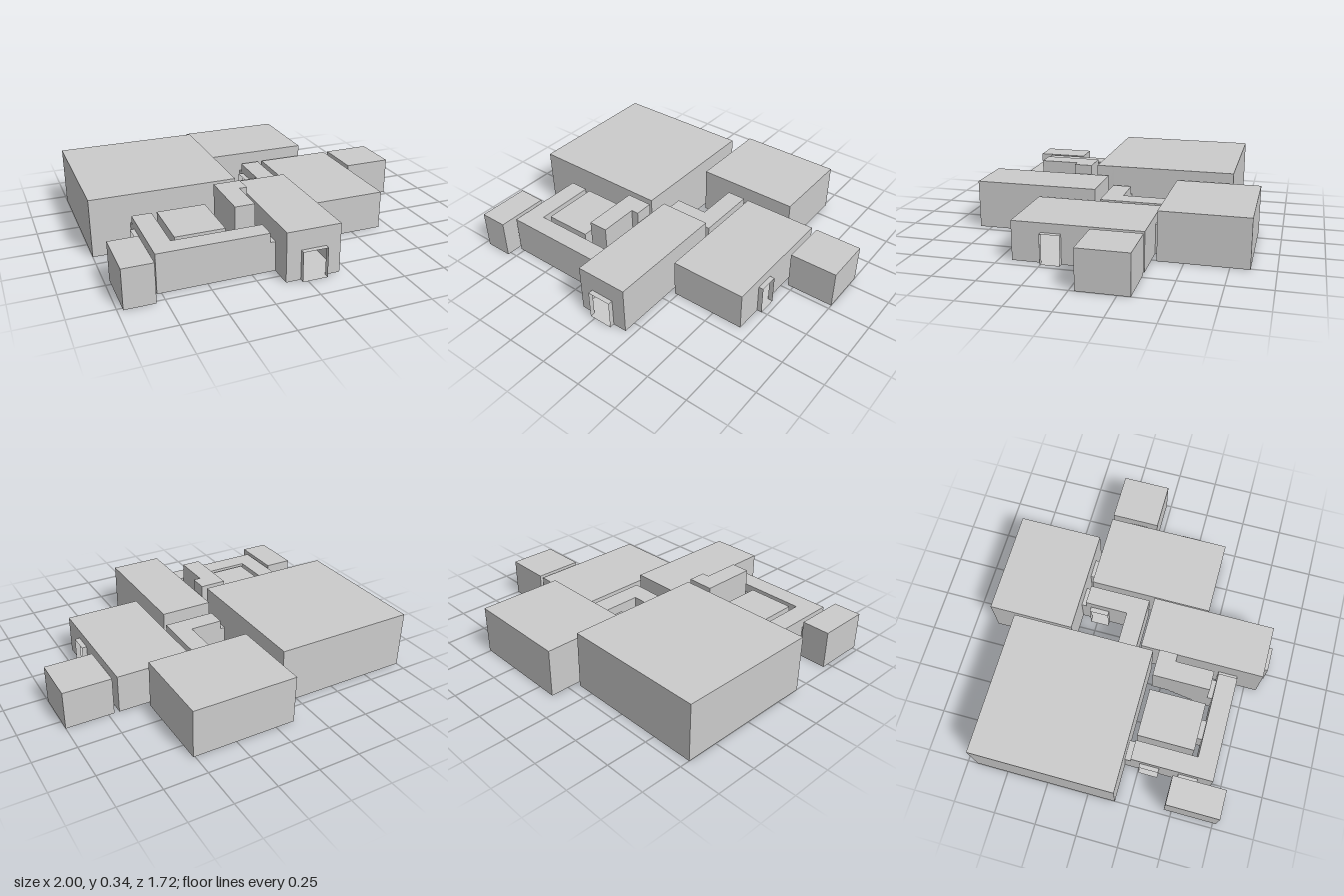
import * as THREE from 'three';
import { mergeGeometries } from 'three/addons/utils/BufferGeometryUtils.js';

const material = new THREE.MeshStandardMaterial({ color: 0xcccccc, flatShading: true, side: THREE.DoubleSide });
const DOOR_HEIGHT = 0.175;

// Doorway passages: x0, x1, z0, z1, and the axis one walks along
const doors = [
  ['frontEntrance', -0.03, 0.115, 0.825, 0.855, 'z'],
  ['hallToEastRoom', 0.2, 0.23, 0.14, 0.255, 'x'],
  ['eastExit', 0.685, 0.715, 0.14, 0.255, 'x'],
  ['eastRoomToCloset', 0.685, 0.715, -0.205, -0.09, 'x'],
  ['eastRoomToBackRoom', 0.285, 0.4, -0.35, -0.32, 'z'],
  ['corridorToBackRoom', 0.085, 0.2, -0.35, -0.32, 'z'],
  ['corridorSideExit', 0.055, 0.085, -0.29, -0.175, 'x'],
  ['corridorToGreatRoom', -0.145, -0.115, -0.06, 0.055, 'x'],
  ['hallToWestCorridor', -0.145, -0.115, 0.57, 0.685, 'x'],
  ['corridorToInnerRoom', -0.545, -0.43, 0.54, 0.57, 'z'],
  ['corridorToStairs', -0.29, -0.175, 0.54, 0.57, 'z'],
  ['westCorridorToGreatRoom', -0.775, -0.66, 0.165, 0.2, 'z'],
  ['westExit', -0.8, -0.775, 0.255, 0.37, 'x'],
  ['corridorToWestCloset', -0.8, -0.775, 0.485, 0.6, 'x'],
];

// Footprint corners run front-left, front-right, back-right, back-left
const rect = (x0, x1, z0, z1) => [[x0, z1], [x1, z1], [x1, z0], [x0, z0]];

// Upright panel between two ground points
function panel([ax, az], [bx, bz], y0, y1) {
  const dx = bx - ax, dz = bz - az;
  return new THREE.PlaneGeometry(Math.hypot(dx, dz), y1 - y0)
    .rotateY(Math.atan2(-dz, dx))
    .translate((ax + bx) / 2, (y0 + y1) / 2, (az + bz) / 2);
}

// Flat slab surface over a footprint, facing up or down
function slab(points, y, up) {
  const s = up ? -1 : 1;
  const shape = new THREE.Shape(points.map(([x, z]) => new THREE.Vector2(x, s * z)));
  return new THREE.ShapeGeometry(shape).rotateX(s * Math.PI / 2).translate(0, y, 0);
}

// One wall, split into panels around every doorway that touches it
function wall(a, b, height) {
  const alongX = a[1] === b[1], axis = alongX ? 0 : 1;
  const line = alongX ? a[1] : a[0];
  const sign = Math.sign(b[axis] - a[axis]), length = Math.abs(b[axis] - a[axis]);
  const at = t => alongX ? [a[0] + sign * t, line] : [line, a[1] + sign * t];
  const gaps = [];
  for (const [, x0, x1, z0, z1, way] of doors) {
    if ((way === 'z') !== alongX) continue;
    const ends = alongX ? [z0, z1] : [x0, x1], span = alongX ? [x0, x1] : [z0, z1];
    const t = span.map(v => sign * (v - a[axis])).sort((p, q) => p - q);
    const touches = ends.some(e => Math.abs(e - line) < 1e-3);
    if (touches && t[0] > -1e-3 && t[1] < length + 1e-3) gaps.push(t);
  }
  gaps.sort((p, q) => p[0] - q[0]);
  const parts = [];
  let from = 0;
  for (const [t0, t1] of gaps) {
    if (t0 - from > 1e-3) parts.push(panel(at(from), at(t0), 0, height));
    parts.push(panel(at(t0), at(t1), DOOR_HEIGHT, height));
    from = t1;
  }
  if (length - from > 1e-3) parts.push(panel(at(from), at(length), 0, height));
  return parts;
}

function addMesh(group, name, geometry) {
  const mesh = new THREE.Mesh(geometry, material);
  mesh.name = name;
  group.add(mesh);
}

// Hollow room: walls, floor and roof
function addRoom(group, name, points, height) {
  const walls = points.flatMap((p, i) => wall(p, points[(i + 1) % points.length], height));
  addMesh(group, name, mergeGeometries([...walls, slab(points, 0, false), slab(points, height, true)]));
}

// Doorway passage, open at both ends
function addDoor(group, [name, x0, x1, z0, z1, way]) {
  const p = rect(x0, x1, z0, z1);
  const sides = way === 'z' ? [[1, 2], [3, 0]] : [[0, 1], [2, 3]];
  addMesh(group, name, mergeGeometries([
    ...sides.map(([i, j]) => panel(p[i], p[j], 0, DOOR_HEIGHT)),
    slab(p, 0, false), slab(p, DOOR_HEIGHT, true),
  ]));
}

// Stairwell with a flat roof and a stepped underside, plus the side landing
function addStairs(group) {
  const top = 0.345, landing = 0.115, steps = 8, zStart = 0.54, zEnd = 0.31, zBack = 0.2;
  const profile = new THREE.Shape();
  profile.moveTo(zStart, top);
  profile.lineTo(zStart, 0);
  for (let i = 1; i <= steps; i++) {
    const z = zStart - (zStart - zEnd) * i / steps;
    profile.lineTo(z, landing * (i - 1) / steps);
    profile.lineTo(z, landing * i / steps);
  }
  profile.lineTo(zBack, landing);
  profile.lineTo(zBack, top);
  const flight = new THREE.ExtrudeGeometry(profile, { depth: 0.115, bevelEnabled: false });
  flight.rotateY(-Math.PI / 2).translate(-0.175, 0, 0);
  addMesh(group, 'stairwell', flight);
  addMesh(group, 'stairLanding', new THREE.BoxGeometry(0.045, top - landing, zEnd - zBack)
    .translate(-0.1525, (top + landing) / 2, (zEnd + zBack) / 2));
}

export function createModel() {
  const group = new THREE.Group();
  group.name = 'buildingComplex';

  // Rooms
  addRoom(group, 'greatRoom', rect(-1, -0.145, -0.69, 0.165), 0.345);
  addRoom(group, 'backRoom', rect(-0.115, 0.51, -0.86, -0.35), 0.29);
  addRoom(group, 'entranceHall', rect(-0.115, 0.2, 0.085, 0.825), 0.29);
  addRoom(group, 'eastRoom', rect(0.23, 0.685, -0.32, 0.425), 0.23);
  addRoom(group, 'eastCloset', rect(0.715, 1, -0.32, -0.03), 0.23);
  addRoom(group, 'westCloset', rect(-0.97, -0.8, 0.455, 0.77), 0.23);
  addRoom(group, 'innerRoom', rect(-0.63, -0.345, 0.2, 0.54), 0.23);

  // L-shaped corridors
  addRoom(group, 'westCorridor', [[-0.775, 0.685], [-0.145, 0.685], [-0.145, 0.57],
    [-0.66, 0.57], [-0.66, 0.2], [-0.775, 0.2]], 0.23);
  addRoom(group, 'centralCorridor', [[-0.115, 0.055], [0.2, 0.055], [0.2, -0.32],
    [0.085, -0.32], [0.085, -0.06], [-0.115, -0.06]], 0.23);

  doors.forEach(d => addDoor(group, d));
  addStairs(group);
  return group;
}
